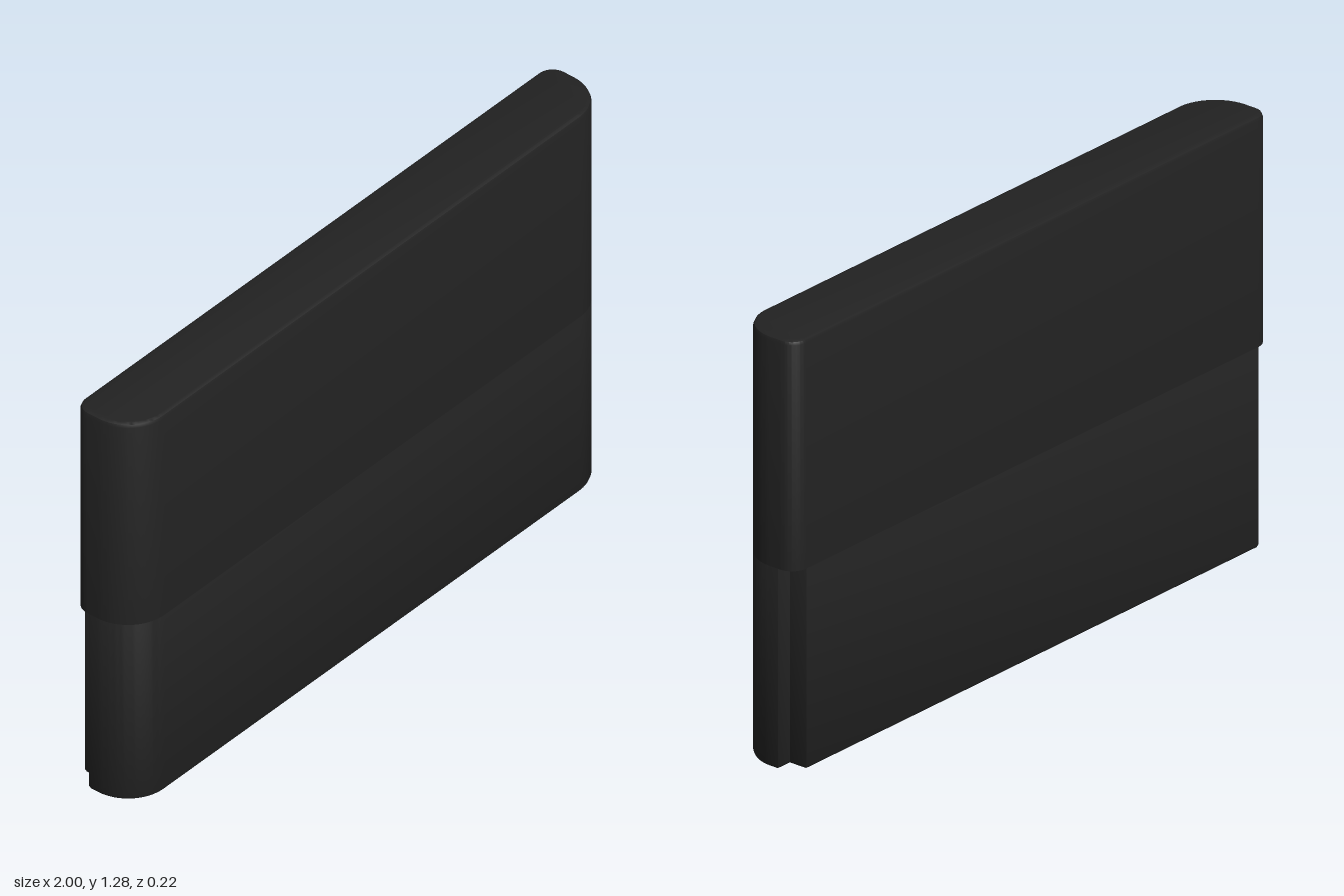
import * as THREE from 'three';
import { toCreasedNormals } from 'three/addons/utils/BufferGeometryUtils.js';

const BEVEL = 0.012, HEIGHT = 1.285, SPLIT = 0.6, HALF_Z = 0.108;

// Plan outline, inset by t; shape y is -z, so the front is at negative y
function trace(path, t, notched) {
  const X = 1 - t, F = -HALF_Z + t, B = HALF_Z - t;
  const front = 0.13 - t, back = 0.05;
  path.moveTo(-X + front, F);
  path.lineTo(X - front, F);
  path.absarc(X - front, F + front, front, -Math.PI / 2, 0, false);
  if (notched) {
    // square notches in both back corners
    const nx = 0.95 - t, ny = 0.05 - t;
    path.lineTo(X, ny);
    path.lineTo(nx, ny);
    path.lineTo(nx, B);
    path.lineTo(-nx, B);
    path.lineTo(-nx, ny);
    path.lineTo(-X, ny);
  } else {
    path.absarc(X - back, B - back, back, 0, Math.PI / 2, false);
    path.absarc(-X + back, B - back, back, Math.PI / 2, Math.PI, false);
  }
  path.absarc(-X + front, F + front, front, Math.PI, Math.PI * 1.5, false);
  return path;
}

// Bevelled upright solid between two heights
function upright(shape, y0, y1) {
  const g = new THREE.ExtrudeGeometry(shape, {
    depth: y1 - y0 - 2 * BEVEL, curveSegments: 10,
    bevelEnabled: true, bevelThickness: BEVEL, bevelSize: BEVEL,
    bevelOffset: -BEVEL, bevelSegments: 2,
  });
  g.rotateX(-Math.PI / 2);
  g.translate(0, y0 + BEVEL, 0);
  return g;
}

export function createModel() {
  const group = new THREE.Group();
  const mat = (name, color) => {
    const m = new THREE.MeshStandardMaterial({ color });
    m.name = name;
    return m;
  };
  const black = mat('black plastic', 0x222222);
  const grey = mat('light grey board', 0xb4baba);
  const dark = mat('contact grey', 0x5f6b69);

  const add = (name, geometry, material, parent = group) => {
    const mesh = new THREE.Mesh(geometry, material);
    mesh.name = name;
    parent.add(mesh);
    return mesh;
  };

  // Upper shell: bevel kept at the top, flattened at the bottom
  const upper = upright(trace(new THREE.Shape(), 0, false), SPLIT, HEIGHT);
  const p = upper.attributes.position;
  for (let i = 0; i < p.count; i++) if (p.getY(i) < SPLIT + 0.03) p.setY(i, SPLIT);
  add('upperShell', toCreasedNormals(upper, 0.7), black);

  // Lower shell: notched and hollow, its top bevel tucked into the upper shell
  const lowerShape = trace(new THREE.Shape(), 0, true);
  lowerShape.holes.push(trace(new THREE.Path(), 0.032, true));
  add('lowerShell', toCreasedNormals(upright(lowerShape, 0, SPLIT + BEVEL), 0.7), black);

  // Circuit board standing in the cavity, with contacts along its edge
  const board = new THREE.BoxGeometry(1.79, SPLIT - 0.04, 0.03);
  board.translate(0, (SPLIT + 0.04) / 2, 0);
  add('board', board, grey);

  const contacts = new THREE.Group();
  contacts.name = 'contacts';
  group.add(contacts);
  const pin = new THREE.BoxGeometry(0.014, 0.12, 0.006);
  const count = 60;
  for (let i = 0; i < count; i++) {
    const c = add('contact', pin, dark, contacts);
    c.position.set(-0.87 + (1.74 * i) / (count - 1), 0.1, 0.016);
  }
  return group;
}
